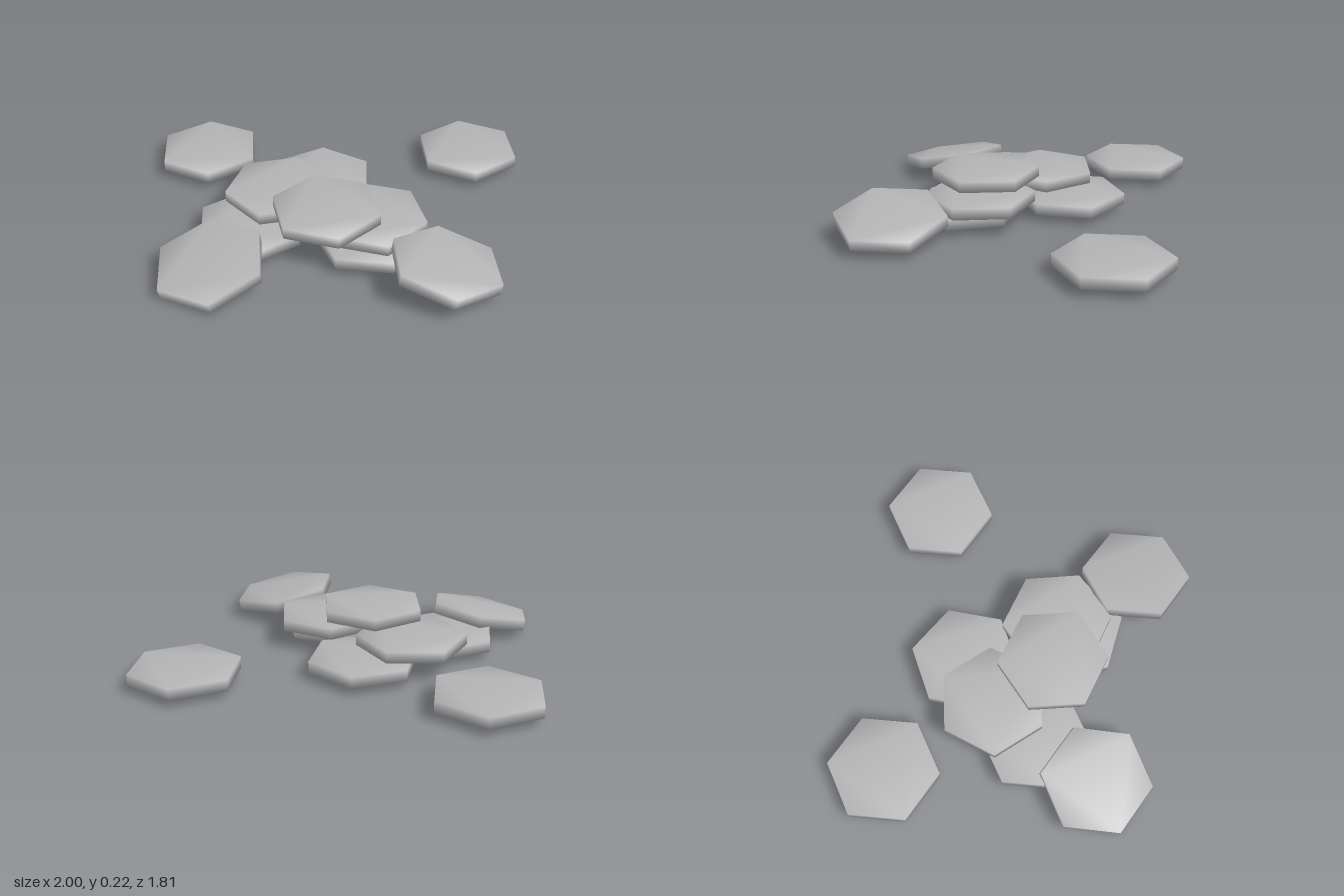
import * as THREE from 'three';
import { mergeVertices } from 'three/addons/utils/BufferGeometryUtils.js';

const RADIUS = 0.29, THICKNESS = 0.06;

// Hexagonal slab, centred, one corner towards -z, with softly shared normals
function hexGeometry() {
  const shape = new THREE.Shape();
  for (let i = 0; i < 6; i++) {
    const a = Math.PI / 2 + i * Math.PI / 3;
    const x = RADIUS * Math.cos(a), y = RADIUS * Math.sin(a);
    if (i === 0) shape.moveTo(x, y); else shape.lineTo(x, y);
  }
  shape.closePath();
  const slab = new THREE.ExtrudeGeometry(shape, { depth: THICKNESS, bevelEnabled: false });
  slab.translate(0, 0, -THICKNESS / 2);
  slab.rotateX(-Math.PI / 2);
  slab.deleteAttribute('uv');
  slab.deleteAttribute('normal');
  const welded = mergeVertices(slab, 1e-4);
  welded.computeVertexNormals();
  return welded;
}

export function createModel() {
  const group = new THREE.Group();
  const stone = new THREE.MeshStandardMaterial({ color: 0xb4b4b4 });
  stone.name = 'paleGrey';
  const hex = hexGeometry();

  // name, x, y, z, turn in degrees, tilt about x, tilt about z
  const tiles = [
    // loose tiles lying flat
    ['backRightTile', -0.749, 0.07, -0.618, 0, 0, 0],
    ['backLeftTile', 0.747, 0.07, -0.5, 0, 0, 0],
    // bottom layer of the pile
    ['pileBottomBackTile', -0.119, 0.07, -0.263, -5.5, 0, 0],
    ['pileBottomRightTile', -0.513, 0.07, 0.14, 0, 0, 0],
    ['pileBottomLeftTile', 0.097, 0.07, 0.279, 18.4, 0, 0],
    // middle layer and top
    ['pileMiddleRightTile', -0.356, 0.13, -0.094, -22.3, 0, 0],
    ['pileMiddleLeftTile', 0.117, 0.13, 0.205, 9.5, 0, 0],
    ['pileTopTile', -0.121, 0.19, 0.202, 8.8, 0, 0],
    // tiles leaning on the pile
    ['leaningRightTile', -0.711, 0.092, 0.472, 0, 0.14, 0.16],
    ['leaningLeftTile', 0.436, 0.116, 0.612, 0, 0, -0.182],
  ];
  for (const [name, x, y, z, turn, tiltX, tiltZ] of tiles) {
    const tile = new THREE.Mesh(hex, stone);
    tile.name = name;
    tile.position.set(x, y, z);
    tile.rotation.set(tiltX, THREE.MathUtils.degToRad(turn), tiltZ);
    group.add(tile);
  }
  return group;
}
